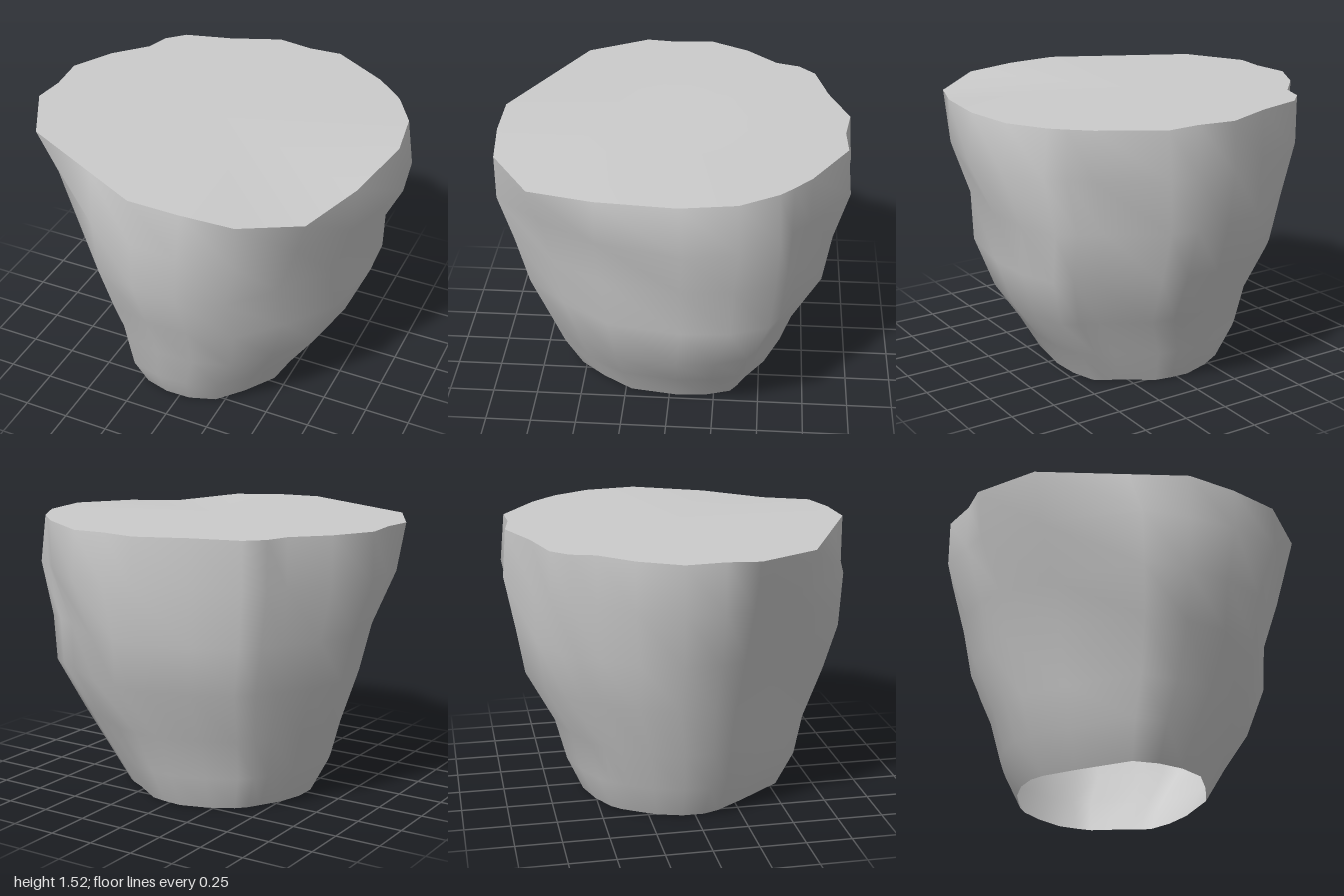
import * as THREE from 'three';

// Rim outline [x, z], running clockwise seen from above, starting at the back
const RIM = [
  [-0.06, -0.94], [0.14, -0.91], [0.32, -0.92], [0.63, -0.73], [0.73, -0.64], [0.80, -0.57],
  [0.92, -0.37], [0.965, -0.08], [0.89, 0.34], [0.76, 0.69], [0.48, 0.90], [0.20, 0.93],
  [-0.08, 0.93], [-0.37, 0.785], [-0.82, 0.56], [-1, 0.23], [-0.98, 0.06], [-1, -0.15],
  [-0.88, -0.37], [-0.72, -0.54], [-0.68, -0.67], [-0.59, -0.76], [-0.33, -0.83],
];
// The rim is level apart from one chipped corner
const CHIP = { 8: 1.505, 9: 1.475, 10: 1.51, 11: 1.525 };
// Shoulder points just below the rim that bulge past it or cut in
const SHIFTED = {
  0: [-0.06, -0.96], 1: [0.14, -0.935], 2: [0.32, -0.945], 5: [0.83, -0.58], 6: [0.955, -0.38],
  7: [1, -0.1], 9: [0.70, 0.64], 11: [0.19, 0.955], 13: [-0.33, 0.865], 14: [-0.74, 0.50],
  15: [-0.96, 0.21],
};
const SHOULDER = RIM.map((p, i) => SHIFTED[i] ?? p);

// Hollows and ridges running down the wall, as factors on the radius
const RIDGES = { 4: 1.05, 5: 1.08, 6: 1.04, 9: 0.97, 14: 0.89, 15: 0.96 };

// Lower rings: [y, min x, max x, min z, max z, roundness]
const RINGS = [
  [0.005, -0.55, 0.47, -0.56, 0.59, 0.75],
  [0.20, -0.655, 0.585, -0.65, 0.69, 0.75],
  [0.42, -0.72, 0.74, -0.71, 0.745, 0.72],
  [0.71, -0.83, 0.86, -0.87, 0.86, 0.65],
  [0.97, -0.89, 0.86, -0.92, 0.94, 0.55],
];

// Fits the shoulder outline into the given extents, easing it towards an ellipse
function ring([y, x0, x1, z0, z1, round]) {
  return SHOULDER.map(([x, z], i) => {
    const r = THREE.MathUtils.lerp(1, 1 / Math.hypot(x, z), round) * (RIDGES[i] ?? 1);
    return [(x0 + x1) / 2 + x * r * (x1 - x0) / 2, y, (z0 + z1) / 2 + z * r * (z1 - z0) / 2];
  });
}

function mesh(name, points, index) {
  const geometry = new THREE.BufferGeometry();
  geometry.setAttribute('position', new THREE.Float32BufferAttribute(points.flat(), 3));
  geometry.setIndex(index);
  geometry.computeVertexNormals();
  const material = new THREE.MeshStandardMaterial({ color: 0xcccccc, side: THREE.DoubleSide });
  const m = new THREE.Mesh(geometry, material);
  m.name = name;
  return m;
}

export function createModel() {
  const group = new THREE.Group();
  group.name = 'taperedRock';

  const rim = RIM.map(([x, z], i) => [x, CHIP[i] ?? 1.53, z]);
  const rings = [...RINGS.map(ring), SHOULDER.map(([x, z]) => [x, 1.27, z]), rim];

  // Smooth side wall through all rings, open underneath
  const n = RIM.length;
  const wall = [];
  for (let k = 0; k < rings.length - 1; k++) {
    for (let i = 0; i < n; i++) {
      const a = k * n + i;
      const b = k * n + (i + 1) % n;
      wall.push(b, a, b + n, a, a + n, b + n);
    }
  }
  group.add(mesh('sideWall', rings.flat(), wall));

  // Flat top as a fan around its centre
  const top = [];
  for (let i = 0; i < n; i++) top.push(n, (i + 1) % n, i);
  group.add(mesh('topFace', [...rim, [0, 1.53, 0]], top));
  return group;
}
